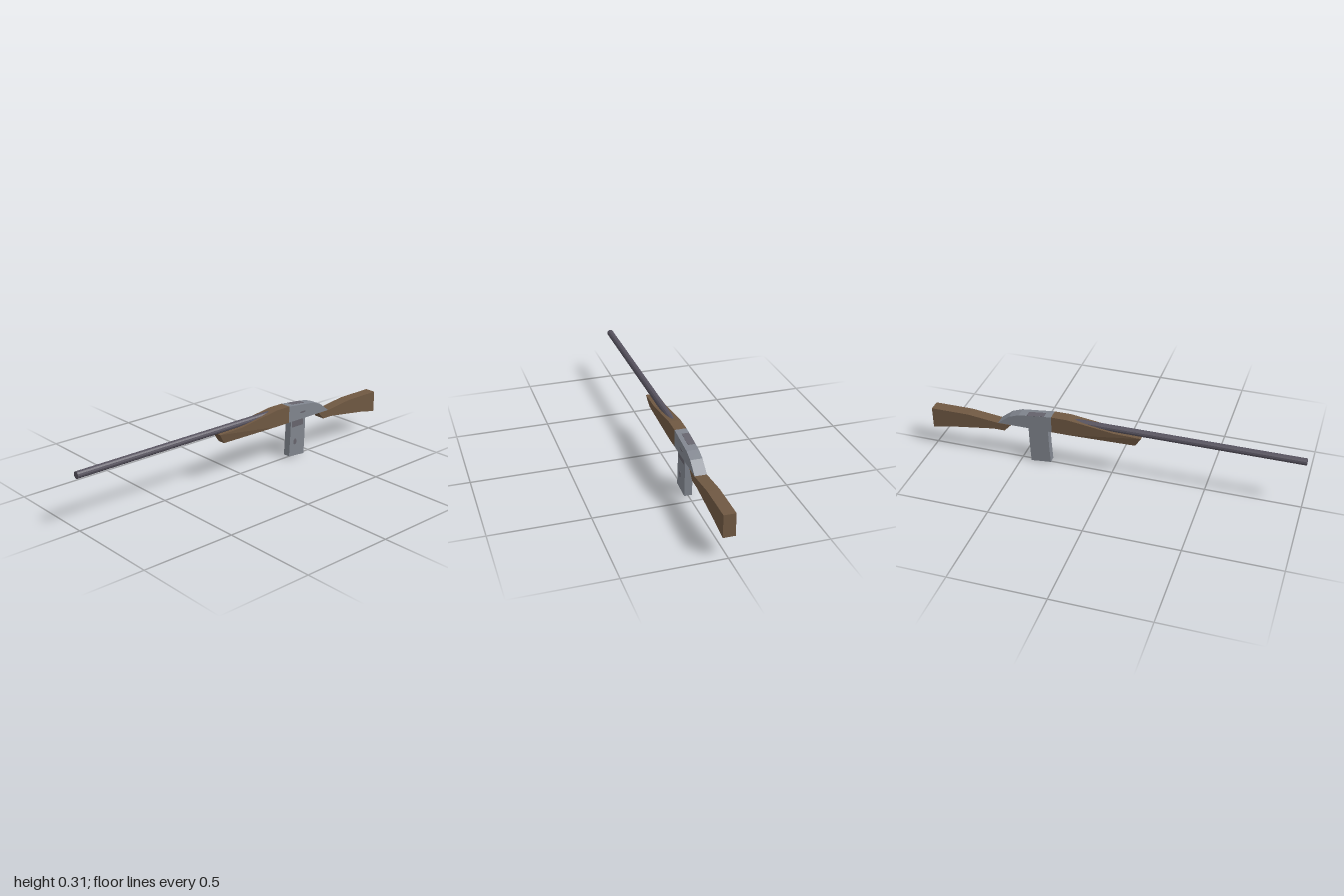
import * as THREE from 'three';

const mat = (name, color) => {
  const m = new THREE.MeshStandardMaterial({ color });
  m.name = name;
  return m;
};

// Slab of the given width in x, from a side outline of [z, y] points
function slab(points, width) {
  const shape = new THREE.Shape(points.map(([z, y]) => new THREE.Vector2(z, y)));
  const geo = new THREE.ExtrudeGeometry(shape, { depth: width, bevelEnabled: false });
  geo.translate(0, 0, -width / 2);
  geo.rotateY(-Math.PI / 2);
  return geo;
}

export function createModel() {
  const wood = mat('brown wood', 0x6f5842);
  const steel = mat('grey steel', 0x80858e);
  const darkSteel = mat('dark barrel steel', 0x56525e);
  const patch = mat('dull grey', 0x66646d);
  const model = new THREE.Group();
  model.name = 'longGun';

  const add = (name, geo, material) => {
    const mesh = new THREE.Mesh(geo, material);
    mesh.name = name;
    model.add(mesh);
    return mesh;
  };

  // Fore-end, pinched at the lower front corner
  const foreEnd = slab([
    [-0.32, 0.213], [-0.23, 0.213], [0.13, 0.213], [0.163, 0.268],
    [0.02, 0.271], [-0.23, 0.305], [-0.32, 0.305],
  ], 0.061);
  const p = foreEnd.attributes.position;
  for (let i = 0; i < p.count; i++) {
    if (p.getZ(i) > 0.1 && p.getY(i) < 0.22) p.setX(i, p.getX(i) * 0.66);
  }
  foreEnd.computeVertexNormals();
  add('foreEnd', foreEnd, wood);

  // Receiver with a curved back
  add('receiver', slab([
    [-0.61, 0.213], [-0.32, 0.213], [-0.32, 0.305],
    [-0.5, 0.284], [-0.555, 0.264], [-0.62, 0.213],
  ], 0.061), steel);

  // Shoulder stock
  add('stock', slab([
    [-1, 0.114], [-0.89, 0.136], [-0.65, 0.171], [-0.585, 0.171],
    [-0.547, 0.212], [-0.62, 0.212], [-0.79, 0.232], [-1, 0.232],
  ], 0.061), wood);

  // Barrel
  const barrelGeo = new THREE.CylinderGeometry(0.018, 0.018, 1.25, 12).toNonIndexed();
  barrelGeo.computeVertexNormals();
  barrelGeo.rotateX(Math.PI / 2);
  add('barrel', barrelGeo, darkSteel).position.set(-0.001, 0.283, 0.375);

  // Magazine, slightly bent forward
  add('magazine', slab([
    [-0.445, 0], [-0.335, 0.011], [-0.341, 0.11], [-0.345, 0.22],
    [-0.453, 0.22], [-0.45, 0.11],
  ], 0.04), steel);

  // Thin plates: magazine collar, top port, side catch and magazine hole
  add('magazinePlate', slab([
    [-0.435, 0.173], [-0.352, 0.173], [-0.352, 0.213], [-0.435, 0.213],
  ], 0.001), patch).position.x = 0.0203;
  add('topPort', slab([
    [-0.455, 0.288], [-0.36, 0.299], [-0.36, 0.3013], [-0.455, 0.2903],
  ], 0.038), patch).position.x = -0.011;

  const disc = (name, x, y, z, rz, ry) => {
    const geo = new THREE.CylinderGeometry(1, 1, 0.001, 10);
    geo.rotateZ(Math.PI / 2);
    geo.scale(1, ry, rz);
    add(name, geo, patch).position.set(x, y, z);
  };
  disc('sideCatch', 0.0304, 0.25, -0.422, 0.022, 0.005);
  disc('magazineHole', 0.0203, 0.087, -0.378, 0.011, 0.017);

  return model;
}
